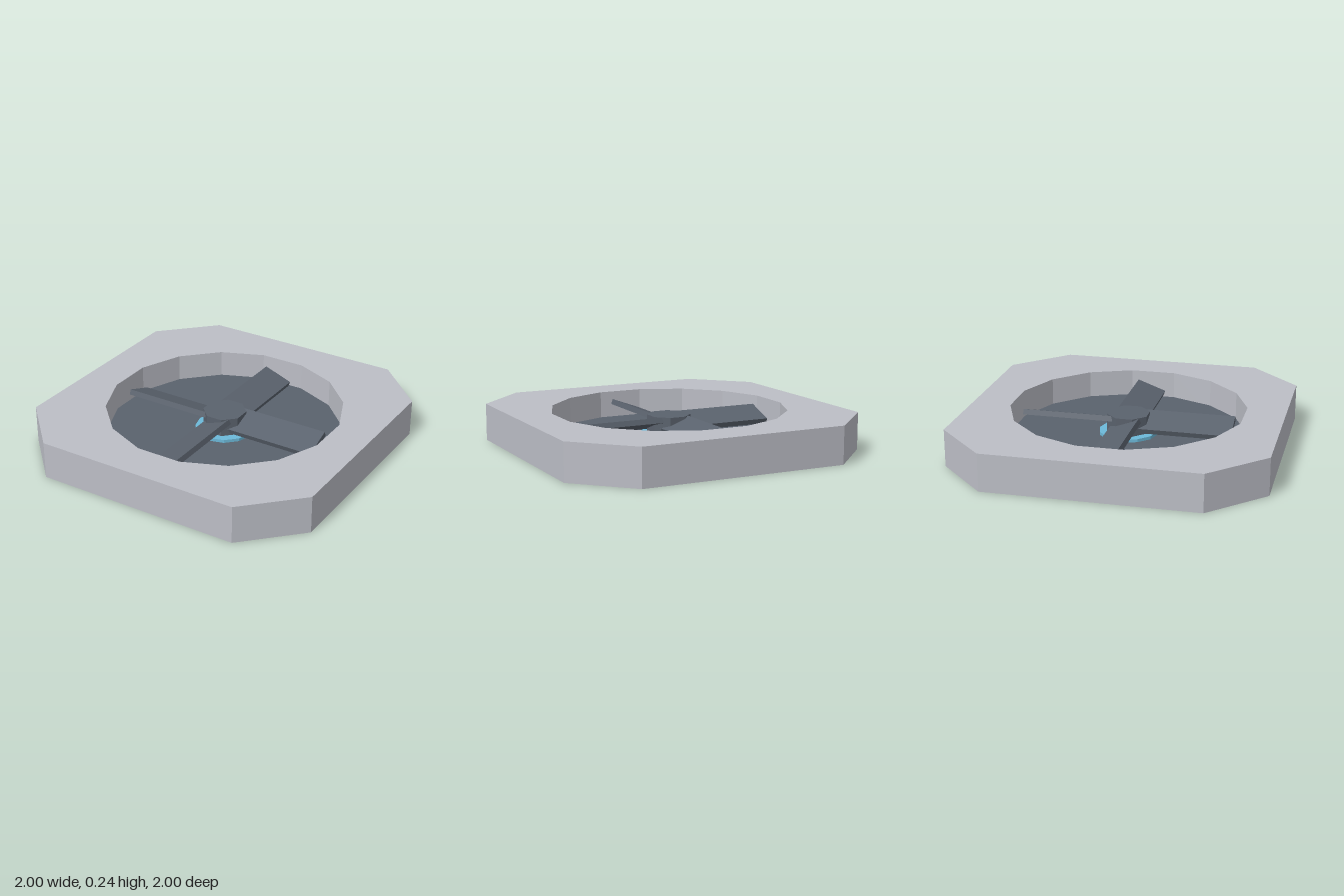
import * as THREE from 'three';

const material = (name, color) => {
  const m = new THREE.MeshStandardMaterial({ color, flatShading: true });
  m.name = name;
  return m;
};

// Points of a regular polygon whose sides, not corners, face the axes
const polygon = (radius, sides) => Array.from({ length: sides }, (_, i) => {
  const a = ((i + 0.5) / sides) * Math.PI * 2;
  return new THREE.Vector2(radius * Math.cos(a), radius * Math.sin(a));
});

export function createModel() {
  const model = new THREE.Group();
  model.name = 'ventFan';
  const frameGrey = material('frame grey', 0xbcbec6);
  const darkSlate = material('dark slate', 0x5a626d);
  const glowBlue = material('light blue', 0x6cb9d9);

  const add = (parent, name, geometry, mat) => {
    const mesh = new THREE.Mesh(geometry, mat);
    mesh.name = name;
    parent.add(mesh);
    return mesh;
  };
  // Faceted disc between two heights
  const disc = (name, radius, sides, y0, y1, turn, mat) => {
    const g = new THREE.CylinderGeometry(radius, radius, y1 - y0, sides);
    g.rotateY(turn).translate(0, (y0 + y1) / 2, 0);
    return add(model, name, g, mat);
  };

  // Square frame with cut corners and a sixteen-sided opening
  const c = 0.67;
  const outline = new THREE.Shape([
    [c, -1], [1, -c], [1, c], [c, 1], [-c, 1], [-1, c], [-1, -c], [-c, -1],
  ].map(([x, y]) => new THREE.Vector2(x, y)));
  outline.holes.push(new THREE.Path(polygon(0.76, 16).reverse()));
  const frame = new THREE.ExtrudeGeometry(outline, { depth: 0.24, bevelEnabled: false });
  frame.rotateX(-Math.PI / 2);
  add(model, 'frame', frame, frameGrey);

  // Floor plate, glowing core and hub
  disc('floorPlate', 0.765, 16, 0.002, 0.065, Math.PI / 16, darkSlate);
  disc('core', 0.19, 12, 0, 0.085, 0, glowBlue);
  disc('hub', 0.14, 8, 0.08, 0.2, Math.PI / 8, darkSlate);

  // Four pitched blades
  const inner = 0.08, outer = 0.678;
  const blade = new THREE.BoxGeometry(outer - inner, 0.035, 0.2);
  blade.rotateX(THREE.MathUtils.degToRad(20));
  blade.translate((inner + outer) / 2, 0.148, 0);
  for (let i = 0; i < 4; i++) {
    add(model, `blade${i + 1}`, blade, darkSlate).rotation.y = (i * Math.PI) / 2;
  }
  return model;
}
